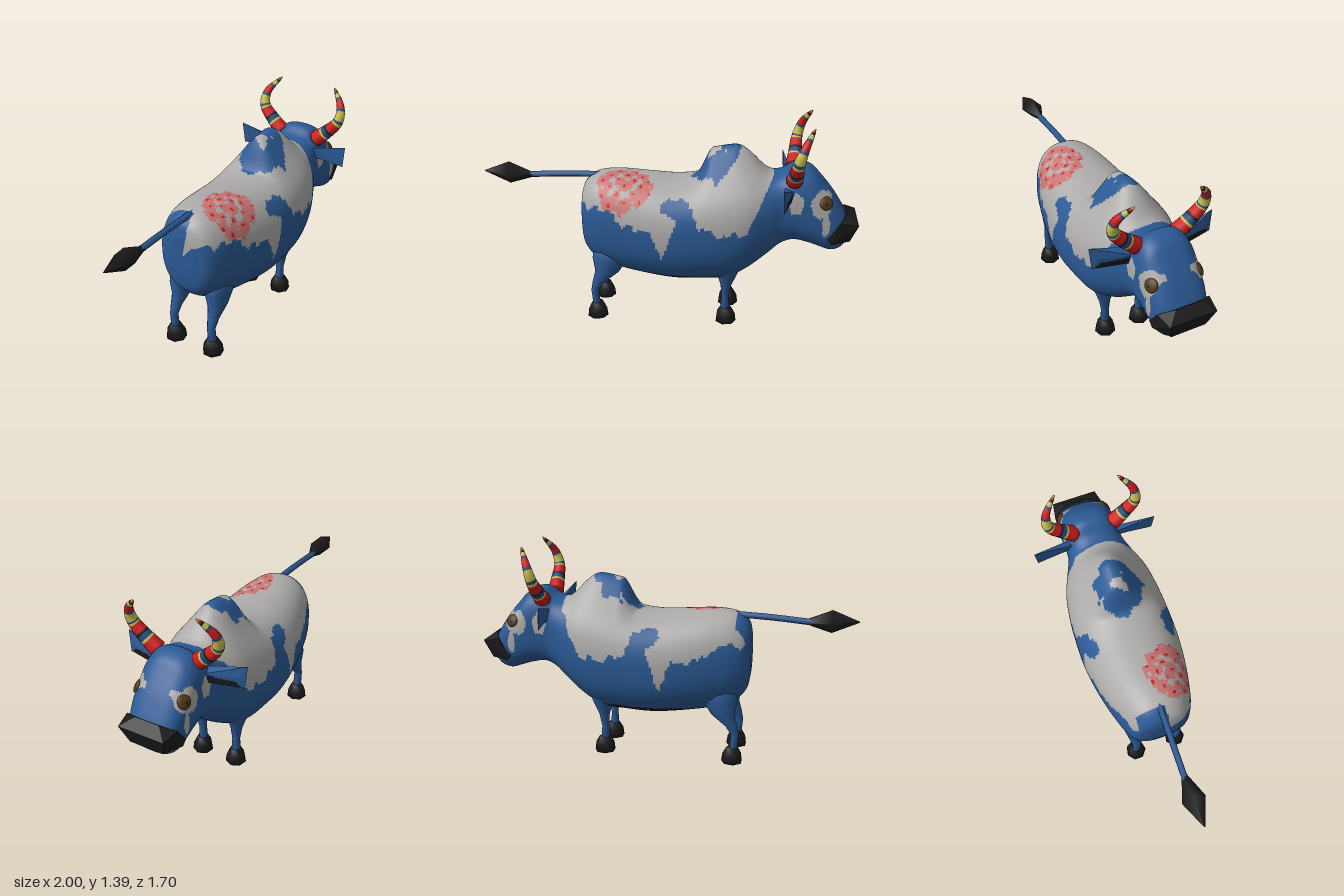
import * as THREE from 'three';
import { ConvexGeometry } from 'three/addons/geometries/ConvexGeometry.js';

const mat = (name, color) => {
  const m = new THREE.MeshStandardMaterial({ color });
  m.name = name;
  return m;
};

// Surface through rows of points, capped at both ends; paint(centre, row) picks a material index
function grid(rows, materials, paint = () => 0) {
  const n = rows[0].length, pts = rows.flat();
  const buckets = materials.map(() => []);
  for (let i = 0; i < rows.length - 1; i++)
    for (let j = 0; j < n; j++) {
      const k = (j + 1) % n, a = i * n + j, b = a + n, c = (i + 1) * n + k, d = i * n + k;
      const mid = pts[a].clone().add(pts[c]).multiplyScalar(0.5);
      buckets[paint(mid, i)].push(a, b, c, a, c, d);
    }
  for (const i of [0, rows.length - 1]) {
    const mid = new THREE.Vector3();
    rows[i].forEach(p => mid.add(p));
    const c = pts.push(mid.divideScalar(n)) - 1;
    for (let j = 0; j < n; j++) {
      const a = i * n + j, b = i * n + (j + 1) % n;
      buckets[paint(pts[a], i)].push(...(i === 0 ? [c, a, b] : [c, b, a]));
    }
  }
  const g = new THREE.BufferGeometry().setFromPoints(pts);
  g.setIndex(buckets.flat());
  let start = 0;
  buckets.forEach((b, i) => {
    if (b.length) g.addGroup(start, b.length, i);
    start += b.length;
  });
  g.computeVertexNormals();
  return new THREE.Mesh(g, materials);
}

// Rounded cross-section facing along x
function section(x, bottom, top, w, segs, power) {
  const e = 2 / power, h = (top - bottom) / 2;
  const f = v => Math.sign(v) * Math.abs(v) ** e;
  return Array.from({ length: segs }, (_, j) => {
    const a = j / segs * Math.PI * 2;
    return new THREE.Vector3(x, bottom + h + h * f(Math.sin(a)), w * f(Math.cos(a)));
  });
}

const hull = (points, side, material) =>
  new THREE.Mesh(new ConvexGeometry(points.map(([x, y, z]) => new THREE.Vector3(x, y, z * side))), material);

// Lower edge of the white saddle: [x, height]
const saddle = [[-0.7, 0.82], [-0.42, 0.81], [-0.33, 0.73], [-0.14, 0.70], [-0.1, 0.6],
  [-0.07, 0.52], [-0.03, 0.62], [0, 0.72], [0.03, 0.85], [0.11, 0.86], [0.16, 0.75], [0.29, 0.70],
  [0.47, 0.71], [0.52, 0.83], [0.6, 0.98], [0.64, 1.1]];
function saddleEdge(x) {
  for (let i = 1; i < saddle.length; i++) {
    const [x0, y0] = saddle[i - 1], [x1, y1] = saddle[i];
    if (x >= x0 && x <= x1) return y0 + (y1 - y0) * (x - x0) / (x1 - x0);
  }
  return 9;
}

// Body paint: 0 blue, 1 white, 2 black, 3 pink, 4 red
function hide({ x, y, z }) {
  const wob = 0.015 * Math.sin(x * 47 + z * 31) + 0.01 * Math.sin(x * 83 - y * 61);
  const spot = (cx, cy, rx, ry) => Math.hypot((x - cx) / rx, (y - cy) / ry) + wob * 8 < 1;
  if (x > 0.66) {
    const face = spot(0.76, 0.88, 0.05, 0.065) || spot(0.92, 0.88, 0.07, 0.08) || spot(0.96, 0.74, 0.025, 0.08);
    return Math.abs(z) > 0.08 && face ? 1 : 0;
  }
  if (y < 0.365 && Math.hypot((x - 0.05) / 0.37, z / 0.27) < 1) return 2;
  if (y < saddleEdge(x) + wob || (x < -0.53 && z < 0.03 && z > -0.16)) return 0;
  // patch on the hump with a pale middle
  const hump = Math.hypot(x - 0.26, z - 0.02) + wob;
  if (y > 0.9 && hump < 0.15 && hump > 0.045) return 0;
  // notches on the flanks
  if (spot(0.02, 0.85, 0.09, 0.055)) return 0;
  // red mark on the rump
  const q = z - (y - 0.97) * 0.35 - 0.15, u = x + 0.33;
  const r = Math.hypot(u, q) + wob * 0.6;
  if (r < 0.175) {
    const fleck = Math.sin(u * 62 + 1) * Math.sin(q * 58 + 0.6) + wob * 6;
    if (fleck > 0.8) return 4;
    if (r > 0.105 || r < 0.05 || fleck > 0.05) return fleck < -0.85 ? 1 : 3;
  }
  return 1;
}

export function createModel() {
  const blue = mat('blue', 0x2b5a95), white = mat('pale grey', 0xacabaa), black = mat('black', 0x1b1b1b);
  const pink = mat('pink', 0xc87472), red = mat('red', 0xcc1c1c), yellow = mat('yellow', 0xcabd4c);
  const brown = mat('brown', 0x523818), navy = mat('dark blue', 0x214a80);
  const model = new THREE.Group();
  const bull = new THREE.Group();
  bull.name = 'bull';
  bull.rotation.y = THREE.MathUtils.degToRad(40);
  bull.position.set(0.01, 0, 0.012);
  model.add(bull);
  const add = (mesh, name) => {
    mesh.name = name;
    bull.add(mesh);
    return mesh;
  };

  // Body, neck and head: [x, bottom, top, half width]
  const rings = [[-0.63, 0.58, 0.85, 0.09], [-0.605, 0.47, 0.93, 0.17], [-0.53, 0.39, 0.985, 0.222],
    [-0.4, 0.345, 1.0, 0.265], [-0.2, 0.31, 0.985, 0.308], [0, 0.29, 0.975, 0.33], [0.18, 0.295, 1.0, 0.328],
    [0.34, 0.31, 1.03, 0.315], [0.47, 0.38, 1.04, 0.288], [0.59, 0.48, 1.03, 0.235], [0.68, 0.56, 1.05, 0.195],
    [0.76, 0.59, 1.1, 0.188], [0.85, 0.575, 1.08, 0.187], [0.93, 0.55, 1.0, 0.183], [1.0, 0.53, 0.915, 0.175],
    [1.06, 0.55, 0.825, 0.155], [1.09, 0.58, 0.775, 0.13]];
  const heights = new THREE.CatmullRomCurve3(rings.map(r => new THREE.Vector3(r[0], r[1], r[2])));
  const widths = new THREE.CatmullRomCurve3(rings.map(r => new THREE.Vector3(r[0], r[3], 0)));
  const { smoothstep } = THREE.MathUtils;
  const bodyRows = [];
  for (let i = 0; i <= 220; i++) {
    const p = heights.getPoint(i / 220), w = widths.getPoint(i / 220).y;
    const row = section(p.x, p.y, p.z, w, 128, 2.3 + 0.4 * smoothstep(p.x, 0.5, 0.8));
    // shoulder hump
    const rise = smoothstep(p.x, 0.11, 0.23) * (1 - smoothstep(p.x, 0.36, 0.64));
    row.forEach(v => { if (v.y > 0.75) v.y += 0.175 * rise * Math.exp(-((v.z / 0.14) ** 2)); });
    bodyRows.push(row);
  }
  add(grid(bodyRows, [blue, white, black, pink, red], hide), 'bodyAndHead');

  // Muzzle, slanting forwards over the lower jaw
  const lips = [[0.97, 0.645, 0.175], [1.05, 0.755, 0.175], [1.095, 0.79, 0.08], [1.165, 0.74, 0.155],
    [1.12, 0.615, 0.115], [1.0, 0.61, 0.172]];
  add(hull([...lips, ...lips.map(([x, y, z]) => [x, y, -z])], 1, black), 'muzzle');
  const teeth = add(new THREE.Mesh(new THREE.BoxGeometry(0.02, 0.02, 0.17), white), 'teeth');
  teeth.position.set(1.09, 0.603, 0);

  // Tail and tuft
  const tailPath = new THREE.CatmullRomCurve3([new THREE.Vector3(-0.5, 0.97, 0), new THREE.Vector3(-0.75, 0.962, -0.008),
    new THREE.Vector3(-1.0, 0.945, -0.015)]);
  add(new THREE.Mesh(new THREE.TubeGeometry(tailPath, 6, 0.021, 6), blue), 'tail');
  const tuft = [[-1.3, 0.003, 0.96], [-1.13, 0.075, 0.955], [-0.97, 0.016, 0.945]];
  add(grid(tuft.map(([x, r, y]) => section(x, y - r, y + r, r, 4, 2).map(v => v.setZ(v.z - 0.012))), [black]), 'tailTuft');

  // Legs: [height, x, side, radius x, radius z]
  const frontLeg = [[0.07, 0.33, 0.13, 0.03, 0.03], [0.18, 0.33, 0.13, 0.024, 0.027], [0.27, 0.335, 0.135, 0.036, 0.038],
    [0.36, 0.34, 0.145, 0.068, 0.06], [0.46, 0.34, 0.16, 0.1, 0.08], [0.58, 0.33, 0.17, 0.1, 0.08]];
  const hindLeg = [[0.07, -0.54, 0.148, 0.026, 0.03], [0.19, -0.55, 0.148, 0.026, 0.028], [0.25, -0.525, 0.146, 0.04, 0.036],
    [0.33, -0.465, 0.142, 0.08, 0.058], [0.43, -0.44, 0.138, 0.12, 0.08], [0.55, -0.42, 0.13, 0.12, 0.08]];
  const hoof = [[0, 0.07], [0.055, 0.063], [0.1, 0.038]];
  const loop = (x, y, z, rx, rz, n) => Array.from({ length: n }, (_, j) => {
    const a = j / n * Math.PI * 2;
    return new THREE.Vector3(x + rx * Math.cos(a), y, z + rz * Math.sin(a));
  });
  // Horn stripes from root to tip
  const horn = [red, yellow, navy, black];
  const stripes = [0, 0, 0, 0, 0, 1, 2, 2, 3, 0, 0, 0, 0, 1, 2, 1, 1, 1, 1, 2, 0, 0, 0, 0, 2, 1, 1, 3, 0, 1];

  for (const side of [1, -1]) {
    const label = side > 0 ? 'Right' : 'Left';
    for (const [name, leg] of [['front', frontLeg], ['hind', hindLeg]]) {
      add(grid(leg.map(([y, x, z, rx, rz]) => loop(x, y, z * side, rx, rz, 12)), [blue]), name + 'Leg' + label);
      const [, x, z] = leg[0];
      add(grid(hoof.map(([y, r]) => loop(x + 0.005, y, z * side, r, r, 7)), [black]), name + 'Hoof' + label);
    }

    // Horn
    const path = new THREE.CatmullRomCurve3([[0.745, 1.03, 0.135], [0.753, 1.1, 0.215], [0.763, 1.19, 0.292],
      [0.79, 1.28, 0.292], [0.85, 1.39, 0.208]].map(([x, y, z]) => new THREE.Vector3(x, y, z * side + 0.015)));
    const frames = path.computeFrenetFrames(30);
    const hornRows = frames.tangents.map((_, i) => {
      const r = 0.003 + 0.052 * (1 - i / 30) ** 0.65, c = path.getPointAt(i / 30);
      return Array.from({ length: 10 }, (_, j) => {
        const a = j / 5 * Math.PI;
        return c.clone().addScaledVector(frames.binormals[i], r * Math.cos(a))
          .addScaledVector(frames.normals[i], r * Math.sin(a));
      });
    });
    add(grid(hornRows, horn, (_, i) => stripes[Math.min(i, 29)]), 'horn' + label);

    // Ear, flaring outwards, with a dark inside
    const ear = [[0.69, 0.98, 0.15], [0.745, 0.96, 0.16], [0.7, 0.92, 0.15], [0.675, 1.05, 0.415], [0.685, 0.9, 0.4], [0.7, 0.97, 0.36]];
    const inner = [[0.75, 0.95, 0.16], [0.74, 0.9, 0.16], [0.7, 0.91, 0.17], [0.69, 0.905, 0.385], [0.705, 0.945, 0.35]];
    add(hull(ear, side, blue), 'ear' + label);
    add(hull(inner, side, black), 'innerEar' + label);

    // Eye and pupil
    for (const [name, size, out, m] of [['eye', 0.045, 0.16, brown], ['pupil', 0.02, 0.172, black]]) {
      const eye = add(new THREE.Mesh(new THREE.SphereGeometry(size, 14, 10), m), name + label);
      eye.scale.z = 0.4;
      eye.position.set(0.95, 0.89, out * side);
      eye.rotation.set(-0.5 * side, 0.35 * side, 0);
    }
  }
  return model;
}
